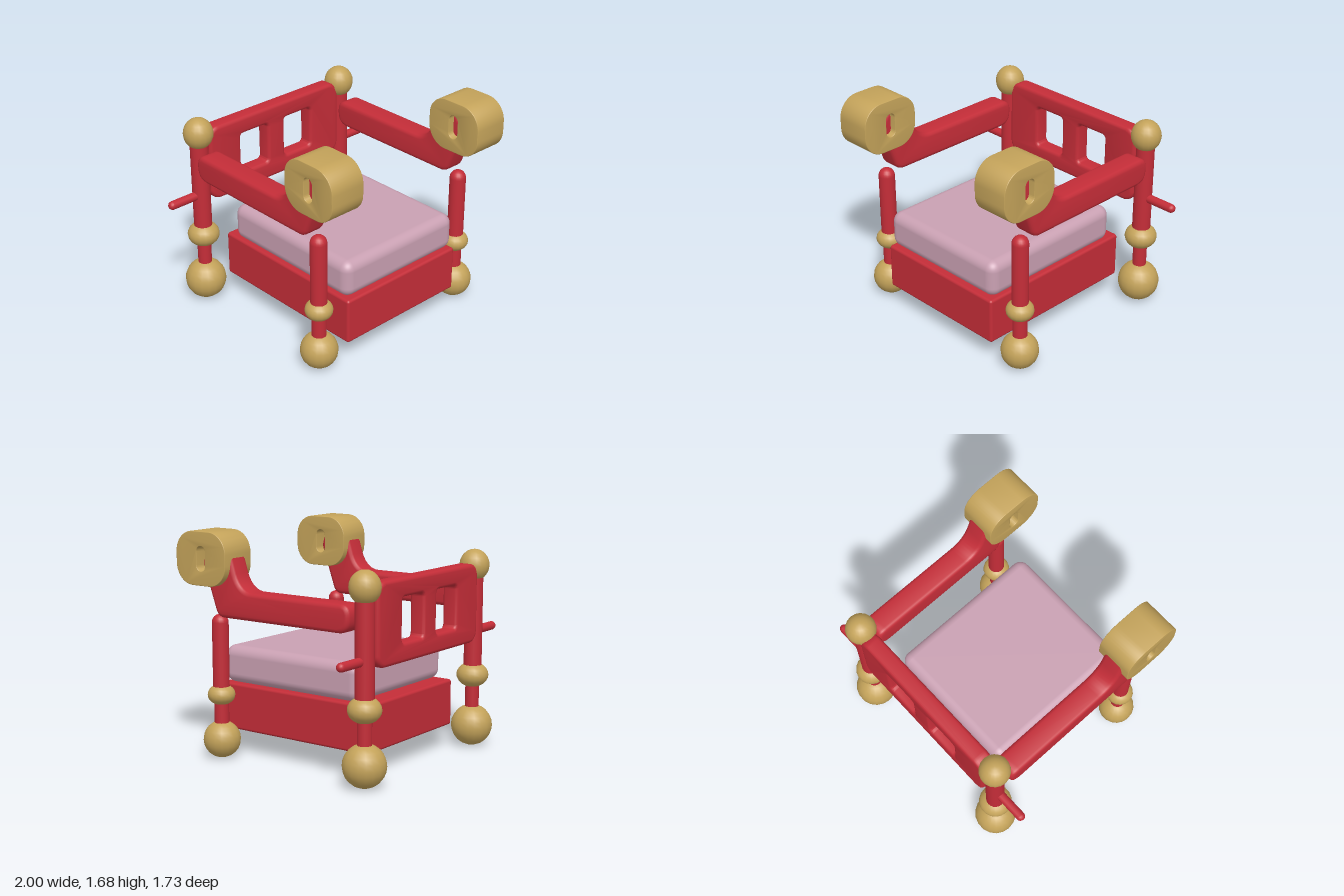
import * as THREE from 'three';
import { toCreasedNormals } from 'three/addons/utils/BufferGeometryUtils.js';
import { RoundedBoxGeometry } from 'three/addons/geometries/RoundedBoxGeometry.js';

const mat = (name, color, flatShading = false) => {
  const m = new THREE.MeshStandardMaterial({ color, flatShading });
  m.name = name;
  return m;
};

// Traces a rounded rectangle centred on (x, y) into a Shape or Path
function roundedRect(path, x, y, w, h, r) {
  const l = x - w / 2, b = y - h / 2, R = x + w / 2, t = y + h / 2;
  path.moveTo(l + r, b);
  path.lineTo(R - r, b).absarc(R - r, b + r, r, -Math.PI / 2, 0);
  path.lineTo(R, t - r).absarc(R - r, t - r, r, 0, Math.PI / 2);
  path.lineTo(l + r, t).absarc(l + r, t - r, r, Math.PI / 2, Math.PI);
  path.lineTo(l, b + r).absarc(l + r, b + r, r, Math.PI, Math.PI * 1.5);
  return path;
}

// Extrusion of total thickness, centred on its depth, bevelled inwards
function slab(shape, thickness, bevel, curveSegments) {
  const depth = thickness - 2 * bevel;
  const g = new THREE.ExtrudeGeometry(shape, {
    depth, curveSegments, bevelEnabled: true, bevelThickness: bevel,
    bevelSize: bevel, bevelOffset: -bevel, bevelSegments: 3,
  });
  g.translate(0, 0, -depth / 2);
  return toCreasedNormals(g, 0.6);
}

export function createModel() {
  const red = mat('red paint', 0xc42d38);
  const gold = mat('gold', 0xc4a35a);
  const pink = mat('pink cushion', 0xc9a0b2);
  const model = new THREE.Group();
  model.name = 'armchair';

  const add = (parent, name, geometry, material, x, y, z) => {
    const mesh = new THREE.Mesh(geometry, material);
    mesh.name = name;
    mesh.position.set(x, y, z);
    parent.add(mesh);
    return mesh;
  };
  const ball = (parent, name, x, y, z, rx, ry) => {
    add(parent, name, new THREE.SphereGeometry(1, 18, 12), gold, x, y, z).scale.set(rx, ry, rx);
  };
  const post = (parent, name, x, z, r, y0, y1) =>
    add(parent, name, new THREE.CylinderGeometry(r, r, y1 - y0, 20), red, x, (y0 + y1) / 2, z);

  // Seat
  add(model, 'seatBase', new RoundedBoxGeometry(1.09, 0.35, 1.335, 3, 0.02), red, 0, 0.355, 0.048);
  add(model, 'seatCushion', new RoundedBoxGeometry(1.09, 0.28, 1.23, 5, 0.075), pink, 0, 0.67, 0.085);

  // Backrest with two windows
  const back = roundedRect(new THREE.Shape(), 0, 1.115, 1.28, 0.59, 0.09);
  for (const s of [-1, 1])
    back.holes.push(roundedRect(new THREE.Path(), s * 0.215, 1.118, 0.265, 0.32, 0.03));
  add(model, 'backrest', slab(back, 0.125, 0.025, 5), red, 0, 0, -0.712);

  // Arm profile, drawn with x as forward
  const armShape = new THREE.Shape();
  armShape.moveTo(-0.53, 1.065);
  armShape.lineTo(0.48, 1.065);
  armShape.quadraticCurveTo(0.535, 1.068, 0.555, 1.12);
  armShape.lineTo(0.66, 1.42);
  armShape.quadraticCurveTo(0.675, 1.47, 0.63, 1.54);
  armShape.quadraticCurveTo(0.59, 1.59, 0.52, 1.59);
  armShape.quadraticCurveTo(0.43, 1.59, 0.405, 1.5);
  armShape.lineTo(0.37, 1.39);
  armShape.quadraticCurveTo(0.325, 1.265, 0.21, 1.265);
  armShape.lineTo(-0.55, 1.265);
  armShape.quadraticCurveTo(-0.63, 1.265, -0.63, 1.18);
  armShape.quadraticCurveTo(-0.63, 1.065, -0.53, 1.065);
  const armGeo = slab(armShape, 0.175, 0.03, 8).rotateY(-Math.PI / 2);

  // Scroll block with a slot
  const scrollShape = roundedRect(new THREE.Shape(), 0.637, 1.485, 0.465, 0.39, 0.155);
  scrollShape.holes.push(roundedRect(new THREE.Path(), 0.635, 1.485, 0.082, 0.18, 0.04));
  const scrollGeo = slab(scrollShape, 0.28, 0.004, 6).rotateY(-Math.PI / 2);

  for (const s of [-1, 1]) {
    const x = s * 0.7;
    const side = new THREE.Group();
    side.name = s > 0 ? 'leftSide' : 'rightSide';
    model.add(side);

    add(side, 'armrest', armGeo, red, x, 0, 0);
    add(side, 'armScroll', scrollGeo, gold, x, 0, 0);

    // Front leg
    const fz = 0.583;
    ball(side, 'frontFoot', x, 0.143, fz, 0.138, 0.138);
    post(side, 'frontLowerLeg', x, fz, 0.054, 0.2, 0.48);
    ball(side, 'frontKnob', x, 0.478, fz, 0.102, 0.078);
    add(side, 'frontPost', new THREE.CapsuleGeometry(0.061, 0.475, 6, 20), red, x, 0.7765, fz);

    // Back leg
    const bz = -0.705;
    ball(side, 'backFoot', x, 0.16, bz, 0.156, 0.156);
    post(side, 'backLowerLeg', x, bz, 0.052, 0.25, 0.55);
    ball(side, 'backKnob', x, 0.55, bz, 0.121, 0.095);
    post(side, 'backPost', x, bz, 0.068, 0.58, 1.34);
    ball(side, 'backFinial', x, 1.385, bz, 0.112, 0.12);

    // Side handle
    const rod = new THREE.CapsuleGeometry(0.033, 0.26, 5, 14);
    add(side, 'sideHandle', rod, red, s * 0.837, 0.887, bz).rotation.z = Math.PI / 2;
  }
  return model;
}
